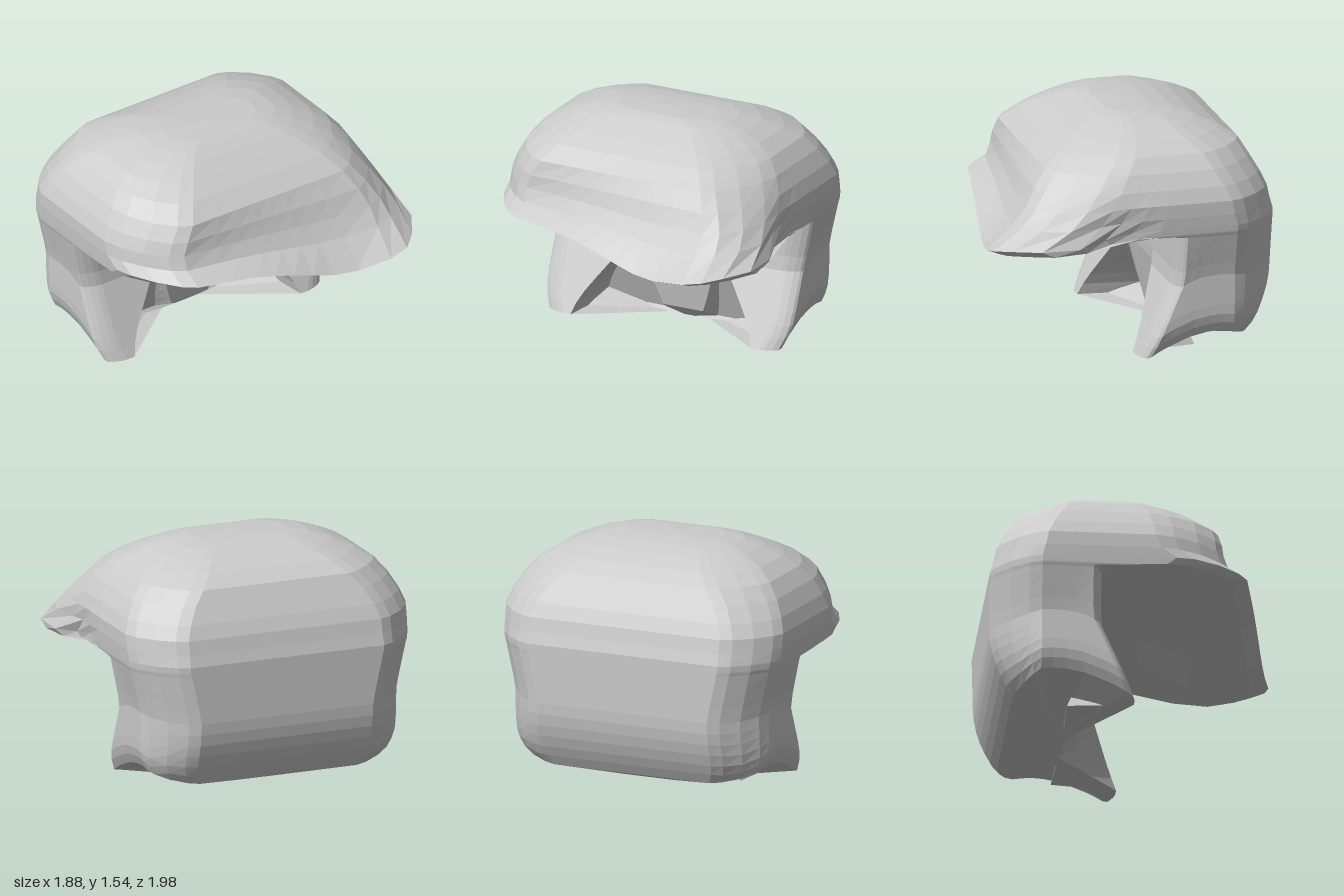
import * as THREE from 'three';

const ZC = 0.035; // the shell's own middle plane
const clamp = (v) => Math.min(1, Math.max(0, v));

// Edges of the notches on the front side: s runs from 0 (wall) to 1 (neck end)
const notchInner = (s) => 0.39 - 0.19 * s;
const notchOuter = (s) => 0.43 + 0.49 * s;

function frontColumns(s) {
  const c = notchInner(s), r = notchOuter(s);
  return [c * 0.5, c, c * 0.9 + r * 0.1, c * 0.5 + r * 0.5, c * 0.1 + r * 0.9, r, r * 0.6 + 0.4];
}

// Half an outline from front to back: flat front, cut corner, side, cut corner, flat back
function halfOutline({ mid, xb, xf, hw, bx, bz, fx, fz, s = 0 }, p) {
  const pts = frontColumns(s).map((v) => [xf, v * (hw - fz), v]);
  const corner = (i, e) => [Math.cos(i * Math.PI / 8) ** (2 / e), Math.sin(i * Math.PI / 8) ** (2 / e)];
  for (let i = 0; i < 4; i++) {
    const [a, b] = corner(i, p);
    pts.push([xf - fx + fx * a, hw - fz + fz * b]);
  }
  for (let i = 0; i < 4; i++) pts.push([THREE.MathUtils.lerp(xf - fx, mid, i / 4), hw]);
  for (let i = 0; i < 4; i++) pts.push([THREE.MathUtils.lerp(mid, xb + bx, i / 4), hw]);
  for (let i = 0; i < 4; i++) {
    const [a, b] = corner(i, 1.4);
    pts.push([xb + bx - bx * b, hw - bz + bz * a]);
  }
  for (const v of [1, 0.75, 0.5, 0.25]) pts.push([xb, v * (hw - bz)]);
  return pts;
}

// Closed outline; flare widens the swept corner on the right
function outline(o, place) {
  const { mid, xb, xf, hw, slant = 0, flare = 0 } = o;
  const finish = (sign) => ([x, zh, v]) => {
    const w = clamp((x - mid) / (xf - mid));
    let z = ZC + sign * zh;
    const px = x - slant * z * w;
    if (sign < 0) {
      const spread = 0.09 * Math.exp(-(((px - 0.58) / 0.22) ** 2)) - 0.035 * Math.exp(-(((px - 0.18) / 0.15) ** 2));
      z -= flare * (zh / hw) ** 2 * spread;
    }
    return place(px, z, v);
  };
  const left = halfOutline(o, 1.5).map(finish(1));
  const right = halfOutline(o, 1.5 + 0.8 * flare).map(finish(-1)).reverse();
  return [finish(1)([xf, 0, 0]), ...left, finish(1)([xb, 0]), ...right];
}

// Neck part: side lobes reach forward, two notches cut in from below
function neckRing(t) {
  const s = clamp((0.54 - (0.05 + 0.8 * t)) / 0.49);
  const xb = -0.93 + 0.15 * (1 - clamp(t / 0.6)) ** 2;
  const hw = 0.88 + 0.065 * clamp((t - 0.6) / 0.4) - 0.05 * (1 - clamp(t / 0.25)) ** 2;
  const c = notchInner(s) + 1e-6, r = notchOuter(s) - 1e-6;
  const spec = { mid: -0.33, xb, xf: -0.235, hw, bx: -0.62 - xb, bz: 0.29, fx: 0.06, fz: 0.13, s };
  return outline(spec, (x, z, v) => {
    let low;
    if (v !== undefined) {
      // front wall: centre strip, notch or lobe
      low = v <= c ? 0.09 : 0.035;
      x += s * (v <= c ? -0.09 : v < r ? -0.2 : 0.22);
    } else {
      const g = clamp((x + 0.62) / 0.33);
      low = 0.19 - 0.155 * g ** 4 - 0.09 * clamp((-0.6 - x) / 0.18);
      x += 0.22 * s * g ** 3;
    }
    return [x, low + (0.85 - low) * t, z];
  });
}

// Height of the brim's underside, dipping towards the swept corner
function brimDip(x, z) {
  const w = clamp((x - 0.05) / 0.35);
  return w * (0.035 * z - 0.01 - 0.13 * Math.exp(-(((z + 0.35) / 0.45) ** 2)));
}

function brimRing(y, xf, hw, fx, flare) {
  return outline({ mid: -0.3, xb: -0.93, xf, hw, bx: 0.31, bz: 0.29, fx, fz: 0.3, slant: 0.19, flare },
    (x, z) => [x, y + brimDip(x, z), z]);
}

// Dome levels: y, middle x, back x, front x, half width, flare
const DOME = [
  [0.99, -0.28, -0.91, 0.69, 0.963, 0.6],
  [1.08, -0.27, -0.89, 0.63, 0.963, 0.3],
  [1.17, -0.26, -0.85, 0.59, 0.93, 0.1],
  [1.27, -0.25, -0.795, 0.535, 0.875, 0],
  [1.36, -0.22, -0.745, 0.42, 0.80, 0],
  [1.425, -0.2, -0.64, 0.31, 0.70, 0],
  [1.48, -0.18, -0.51, 0.20, 0.57, 0],
  [1.515, -0.14, -0.38, 0.12, 0.45, 0],
  [1.533, -0.1, -0.25, 0.05, 0.32, 0],
];

function buildRings() {
  const rings = [];
  // Small loop under the nape
  rings.push(outline({ mid: -0.46, xb: -0.5, xf: -0.42, hw: 0.2, bx: 0.02, bz: 0.04, fx: 0.02, fz: 0.04, s: 1 },
    (x, z) => [x, 0.008, z]));
  for (const t of [0, 0.09, 0.18, 0.28, 0.38, 0.48, 0.58, 0.7, 0.84, 1]) rings.push(neckRing(t));
  // Underside of the brim, then its lip
  rings.push(brimRing(0.862, 0.03, 0.949, 0.3, 0.1));
  rings.push(brimRing(0.868, 0.36, 0.951, 0.4, 0.5));
  rings.push(brimRing(0.876, 0.74, 0.953, 0.46, 0.85));
  rings.push(brimRing(0.915, 0.835, 0.957, 0.5, 1));
  for (const [y, mid, xb, xf, hw, flare] of DOME) {
    const length = xf - xb, cut = Math.min(0.3, 0.4 * hw);
    const spec = { mid, xb, xf, hw, bx: Math.min(0.31, 0.3 * length), bz: cut, fx: Math.min(0.48, 0.35 * length), fz: cut,
      slant: 0.15 * clamp((1.3 - y) / 0.3), flare };
    rings.push(outline(spec, (x, z) => [x, y + 0.4 * brimDip(x, z) * clamp((1.2 - y) / 0.2), z]));
  }
  return rings;
}

// Skins the stacked loops and closes both ends
function skin(rings, bottom, top) {
  const n = rings[0].length, index = [];
  const positions = [...rings.flat(), bottom, top].flat();
  const b = rings.length * n, last = (rings.length - 1) * n;
  for (let j = 0; j < n; j++) {
    const k = (j + 1) % n;
    for (let i = 0; i < rings.length - 1; i++) {
      const p = i * n, q = p + n;
      index.push(p + j, q + j, p + k, p + k, q + j, q + k);
    }
    index.push(b, j, k, b + 1, last + k, last + j);
  }
  const geometry = new THREE.BufferGeometry();
  geometry.setAttribute('position', new THREE.Float32BufferAttribute(positions, 3));
  geometry.setIndex(index);
  geometry.computeVertexNormals();
  return geometry;
}

export function createModel() {
  const model = new THREE.Group();
  model.name = 'hair';
  const material = new THREE.MeshStandardMaterial({ color: 0xcccccc, flatShading: true, side: THREE.DoubleSide });
  const shell = new THREE.Mesh(skin(buildRings(), [-0.46, 0, ZC], [-0.1, 1.54, ZC]), material);
  shell.name = 'hairShell';
  model.add(shell);
  return model;
}
